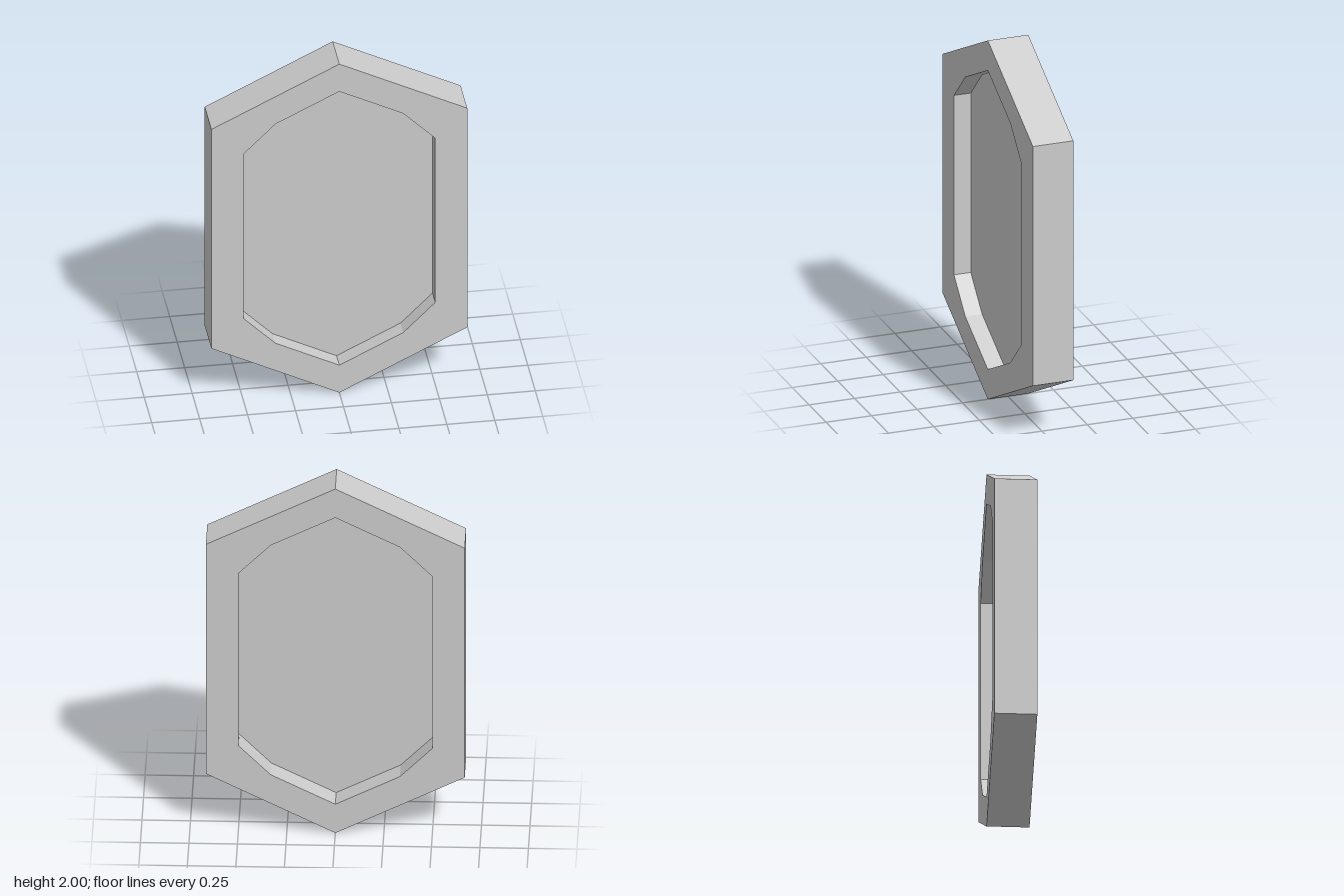
import * as THREE from 'three';

const DEPTH = 0.222;
const PANE_Z = 0.0185;

// Counter-clockwise outline from its right half (bottom to top), mirrored to the left
function outline(half) {
  const left = half.slice(1, -1).reverse().map(([x, y]) => [-x, y]);
  return [...half, ...left].map(([x, y]) => new THREE.Vector2(x, y));
}

export function createModel() {
  const group = new THREE.Group();
  group.name = 'hexagonalWindow';
  const material = new THREE.MeshStandardMaterial({ color: 0xcccccc, flatShading: true });

  const outer = outline([[0, 0], [0.667, 0.333], [0.667, 1.667], [0, 2]]);
  const inner = outline([
    [0, 0.167], [0.333, 0.333], [0.5, 0.5], [0.5, 1.5], [0.333, 1.667], [0, 1.833],
  ]);

  // Elongated hexagonal frame with a chamfered opening
  const frameShape = new THREE.Shape(outer);
  frameShape.holes.push(new THREE.Path(inner));
  const frameGeometry = new THREE.ExtrudeGeometry(frameShape, { depth: DEPTH, bevelEnabled: false });
  frameGeometry.translate(0, 0, -DEPTH / 2);
  const frame = new THREE.Mesh(frameGeometry, material);
  frame.name = 'frame';
  group.add(frame);

  // Thin pane filling the opening, set slightly forward of the middle
  const paneMaterial = material.clone();
  paneMaterial.side = THREE.DoubleSide;
  const pane = new THREE.Mesh(new THREE.ShapeGeometry(new THREE.Shape(inner)), paneMaterial);
  pane.name = 'pane';
  pane.position.z = PANE_Z;
  group.add(pane);

  return group;
}
